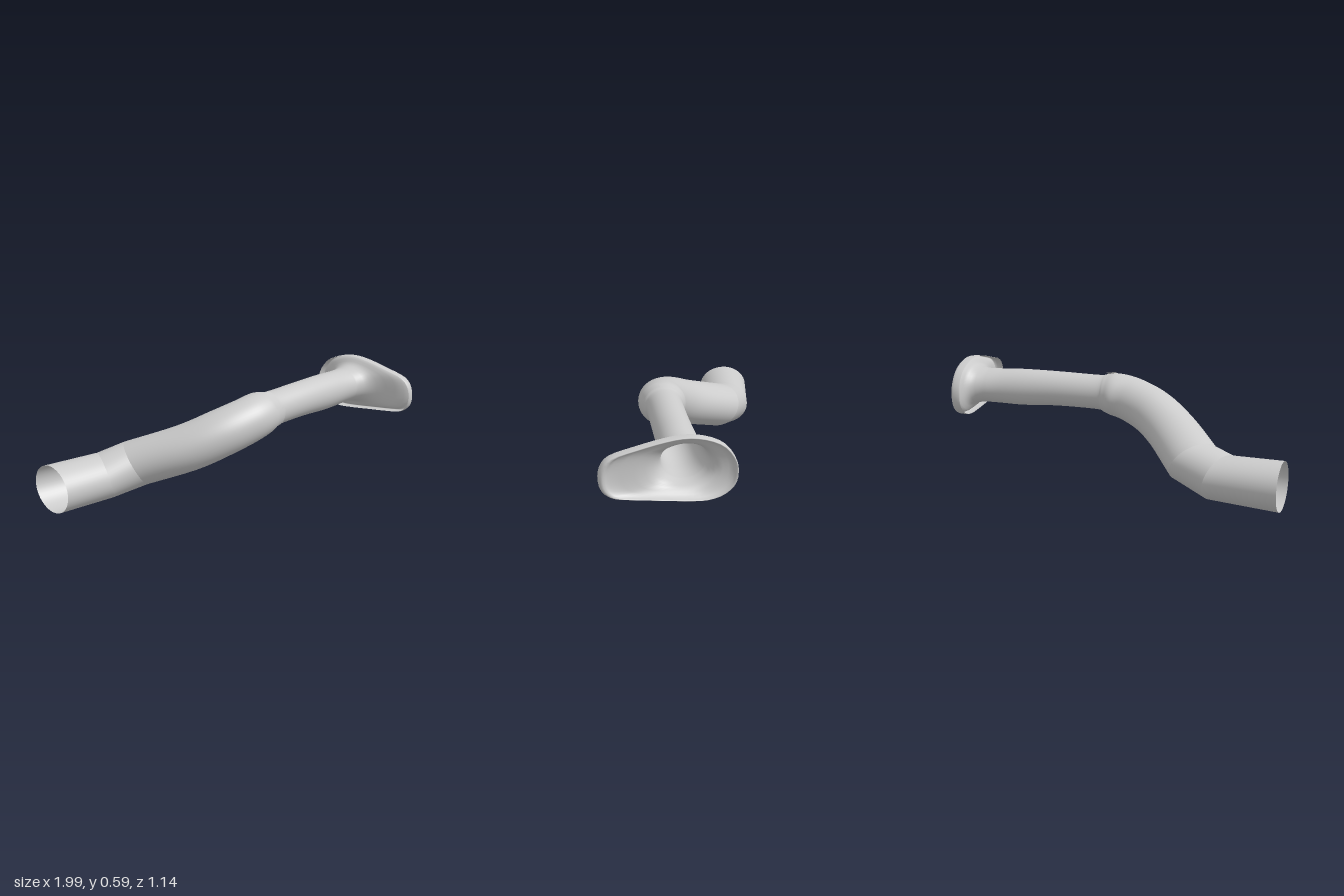
import * as THREE from 'three';

const SIDES = 48;
const RAD = Math.PI / 180;

// Cross-sections: x, y, z, yaw, pitch, side radius, up radius
const TAIL = [
  [-0.987, 0.14, -0.42, 5, 0, 0.15, 0.13],
  [-0.66, 0.143, -0.365, 29, 14, 0.15, 0.127],
];
const ELBOW = [TAIL[1], [-0.5, 0.19, -0.285, 44, 30, 0.152, 0.133]];
const MAIN = [
  ELBOW[1],
  [-0.33, 0.285, -0.06, 51, 28, 0.145, 0.133],
  [-0.185, 0.36, 0.062, 33, 22, 0.138, 0.132],
  [-0.04, 0.41, 0.125, 16, 15, 0.132, 0.128],
  [0.06, 0.431, 0.135, 4, 8, 0.13, 0.122],
  [0.11, 0.434, 0.136, 0, 3, 0.114, 0.11],
  [0.16, 0.437, 0.136, 0, 0, 0.101, 0.1],
  [0.4, 0.441, 0.143, 0, 0, 0.1, 0.101],
  [0.62, 0.437, 0.145, 0, 0, 0.103, 0.107],
  [0.76, 0.436, 0.145, 0, 0, 0.106, 0.103],
  [0.85, 0.436, 0.145, 0, 0, 0.115, 0.101],
];

// Outline of the flared mouth, as z, y
const MOUTH = new THREE.CatmullRomCurve3([
  [0.57, 0.42], [0.555, 0.48], [0.51, 0.523], [0.4, 0.555], [0.27, 0.587], [0.16, 0.602],
  [0.06, 0.59], [-0.03, 0.55], [-0.085, 0.48], [-0.1, 0.41], [-0.085, 0.345], [-0.03, 0.295],
  [0.05, 0.272], [0.15, 0.275], [0.3, 0.29], [0.43, 0.303], [0.515, 0.318], [0.56, 0.36],
].map(([z, y]) => new THREE.Vector3(0, y, z)), true, 'catmullrom');

// Flare: x, blend from round throat to mouth outline; the lip rolls back
const FLARE = [
  [0.89, 0.06], [0.915, 0.15], [0.932, 0.27], [0.945, 0.45], [0.953, 0.65], [0.965, 0.82],
  [0.98, 0.89], [0.988, 0.93], [0.985, 0.97], [0.972, 0.995], [0.955, 1], [0.94, 1], [0.935, 0.985],
];

function ring([x, y, z, yaw, pitch, rs, ru]) {
  const cy = Math.cos(yaw * RAD), sy = Math.sin(yaw * RAD);
  const cp = Math.cos(pitch * RAD), sp = Math.sin(pitch * RAD);
  const side = new THREE.Vector3(-sy, 0, cy);
  const up = new THREE.Vector3(-sp * cy, cp, -sp * sy);
  return Array.from({ length: SIDES }, (_, j) => {
    const a = (j / SIDES) * Math.PI * 2;
    return new THREE.Vector3(x, y, z)
      .addScaledVector(side, rs * Math.cos(a))
      .addScaledVector(up, ru * Math.sin(a));
  });
}

function flareRing([x, f]) {
  return ring([x, 0.436, 0.145, 0, 0, 0.115, 0.101]).map((p, j) => {
    const m = MOUTH.getPoint(j / SIDES);
    m.x = x;
    return p.lerp(m, f);
  });
}

// Smoothly interpolates the section table
function smoothRows(rows, steps) {
  const curve = (a, b, c) => new THREE.CatmullRomCurve3(
    rows.map((r) => new THREE.Vector3(r[a], r[b], c === undefined ? 0 : r[c])), false, 'catmullrom');
  const pos = curve(0, 1, 2), rot = curve(3, 4), rad = curve(5, 6);
  return Array.from({ length: steps + 1 }, (_, i) => {
    const t = i / steps, p = pos.getPoint(t), q = rot.getPoint(t), r = rad.getPoint(t);
    return [p.x, p.y, p.z, q.x, q.y, r.x, r.y];
  });
}

function loft(rings) {
  const index = [];
  for (let i = 0; i < rings.length - 1; i++) {
    for (let j = 0; j < SIDES; j++) {
      const k = (j + 1) % SIDES;
      const a = i * SIDES + j, b = a + SIDES, c = (i + 1) * SIDES + k, d = i * SIDES + k;
      index.push(a, b, c, a, c, d);
    }
  }
  const geo = new THREE.BufferGeometry().setFromPoints(rings.flat());
  geo.setIndex(index);
  geo.computeVertexNormals();
  return geo;
}

export function createModel() {
  const group = new THREE.Group();
  group.name = 'flaredPipe';
  const material = new THREE.MeshStandardMaterial({ color: 0xcccccc, side: THREE.DoubleSide });
  const add = (name, geo) => {
    const mesh = new THREE.Mesh(geo, material);
    mesh.name = name;
    group.add(mesh);
    return mesh;
  };

  // Straight tail and mitred elbow keep hard edges where they meet
  add('tailPipe', loft(TAIL.map(ring)));
  add('elbow', loft(ELBOW.map(ring)));

  // Curved pipe running into the flared, rolled mouth
  add('mainPipeAndFlare', loft([
    ...smoothRows(MAIN, 60).map(ring),
    ...FLARE.map(flareRing),
  ]));

  // Two overlapping collar patches at the joint (x, width, radii, start and sweep in degrees)
  [
    [0.092, 0.055, 0.117, 0.124, 18, 62],
    [0.128, 0.06, 0.107, 0.118, -35, 52],
  ].forEach(([x, w, rFront, rBack, start, sweep]) => {
    const geo = new THREE.CylinderGeometry(rFront, rBack, w, 16, 1, true, (90 - start - sweep) * RAD, sweep * RAD);
    geo.rotateX(Math.PI / 2); // axis y to z, then z to x
    geo.rotateY(Math.PI / 2);
    // Turn the arc so its angle runs from +z up towards +y
    const p = geo.attributes.position;
    for (let i = 0; i < p.count; i++) {
      const v = i % 17, a = (start + (sweep * v) / 16) * RAD;
      const r = Math.hypot(p.getY(i), p.getZ(i));
      p.setXYZ(i, p.getX(i), r * Math.sin(a), r * Math.cos(a));
    }
    geo.computeVertexNormals();
    add('collarPatch', geo).position.set(x, 0.434, 0.137);
  });

  return group;
}
